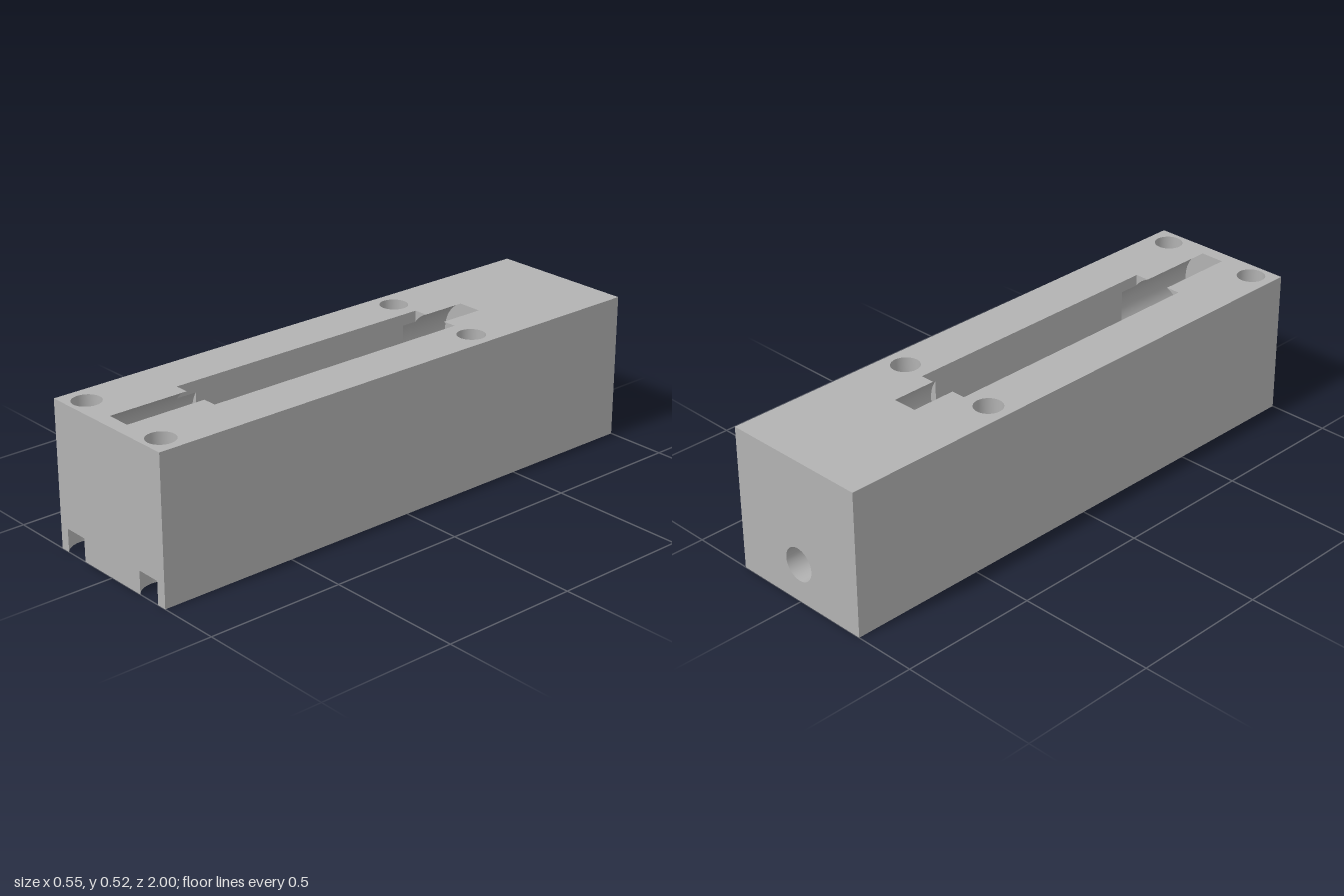
import * as THREE from 'three';

// Main dimensions
const W = 0.2735, T = 0.522;                          // half width, height
const SX = 0.097, SB = -0.375, SF = 0.655;            // through slot
const HX = 0.192, HR = 0.05, CR = 0.081, CY = 0.083;  // screw holes and counterbores
const ZF = 0.933, ZB = -0.36;                         // hole rows
const R = 0.12, NX = 0.045;                           // round channels breaking through the top
const CC = T - Math.sqrt(R * R - NX * NX);
const PX = 0.157, PZ = -0.06, P0 = 0.02, P1 = 0.26;   // pocket widening the slot
const BR = 0.06, BY = 0.139;                          // rear bore

const V = (x, y) => new THREE.Vector2(x, y);
const arc = (cx, cy, r, a0, a1) => {
  const n = Math.max(6, Math.ceil(Math.abs(a1 - a0) * 9));
  return Array.from({ length: n + 1 }, (_, i) => {
    const a = a0 + ((a1 - a0) * i) / n;
    return V(cx + r * Math.cos(a), cy + r * Math.sin(a));
  });
};
const circle = (cx, cy, r) => arc(cx, cy, r, 0, Math.PI * 2);
const rect = (x0, y0, x1, y1) => [V(x0, y0), V(x1, y0), V(x1, y1), V(x0, y1)];
const flip = (pts, s) => pts.map((p) => V(p.x * s, p.y));

// Place plane coordinates (u, v) at height h along an axis
const place = {
  x: (u, v, h) => [h, v, u],
  y: (u, v, h) => [u, h, v],
  z: (u, v, h) => [u, v, h],
};

export function createModel() {
  const group = new THREE.Group();
  const grey = new THREE.MeshStandardMaterial({ color: 0xb2b2b2, side: THREE.DoubleSide });
  grey.name = 'plain grey';

  const add = (name, geo) => {
    geo.computeVertexNormals();
    const mesh = new THREE.Mesh(geo, grey);
    mesh.name = name;
    group.add(mesh);
  };

  // Flat face with optional holes
  const face = (name, axis, h, outline, holes = []) => {
    const shape = new THREE.Shape(outline);
    shape.holes = holes.map((p) => new THREE.Path(p));
    const geo = new THREE.ShapeGeometry(shape);
    const pos = geo.attributes.position;
    for (let i = 0; i < pos.count; i++) pos.setXYZ(i, ...place[axis](pos.getX(i), pos.getY(i), h));
    // turn the winding so that it agrees with the axis
    if (axis !== 'z') geo.index.array.reverse();
    add(name, geo);
  };

  // Smooth wall swept from a to b along an axis
  const wall = (name, axis, pts, a, b) => {
    const pos = [], idx = [];
    pts.forEach((p, i) => {
      pos.push(...place[axis](p.x, p.y, a), ...place[axis](p.x, p.y, b));
      if (i) idx.push(2 * i - 2, 2 * i, 2 * i - 1, 2 * i - 1, 2 * i, 2 * i + 1);
    });
    const geo = new THREE.BufferGeometry();
    geo.setAttribute('position', new THREE.Float32BufferAttribute(pos, 3));
    geo.setIndex(idx);
    add(name, geo);
  };

  // Front counterbores open through the front face
  const b = Math.asin((1 - ZF) / CR);
  const half = CR * Math.cos(b);
  const bite = (cx) => arc(cx, ZF, CR, b, -Math.PI - b);

  // Rear hole arcs: the part outside the pocket, and the part inside it
  const rearFrom = (r) => Math.acos((PX - HX) / r);
  const rearTo = (r) => -Math.PI + Math.asin((ZB - SB) / r);
  const outer = (r) => arc(HX, ZB, r, rearFrom(r), rearTo(r));
  const inner = (r) => arc(HX, ZB, r, rearTo(r) + 2 * Math.PI, rearFrom(r));

  // Outer faces
  face('topFace', 'y', T, rect(-W, -1, W, 1), [
    [V(-SX, SB), V(-NX, SB), V(-NX, -0.54), V(NX, -0.54), V(NX, SB), V(SX, SB),
      V(SX, SF), V(NX, SF), V(NX, 0.95), V(-NX, 0.95), V(-NX, SF), V(-SX, SF)],
    ...[-HX, HX].flatMap((x) => [circle(x, ZF, HR), circle(x, ZB, HR)]),
  ]);
  face('bottomFace', 'y', 0,
    [V(-W, -1), V(W, -1), V(W, 1), ...bite(HX), ...bite(-HX), V(-W, 1)],
    [rect(-SX, SB, SX, SF), circle(HX, ZB, CR), circle(-HX, ZB, CR)]);
  face('frontFace', 'z', 1, [
    V(-W, 0), V(-HX - half, 0), V(-HX - half, CY), V(-HX + half, CY), V(-HX + half, 0),
    V(HX - half, 0), V(HX - half, CY), V(HX + half, CY), V(HX + half, 0), V(W, 0), V(W, T), V(-W, T)]);
  face('backFace', 'z', -1, rect(-W, 0, W, T), [circle(0, BY, BR)]);
  for (const s of [-1, 1]) face('sideFace', 'x', s * W, rect(-1, 0, 1, T));

  // Rear bore
  wall('rearBore', 'z', circle(0, BY, BR), -1, SB);

  // Slot end walls, cut away by the channels
  const aS = Math.acos(SX / R), aT = Math.acos(NX / R);
  const lo = CC - R * Math.sin(aS), hi = CC + R * Math.sin(aS);
  for (const [z, holes] of [[SB, [circle(0, BY, BR)]], [SF, []]]) {
    face('slotEnd', 'z', z, [V(-SX, 0), V(SX, 0), ...arc(0, CC, R, -aS, -Math.PI + aS)], holes);
    for (const s of [-1, 1])
      face('slotEndLip', 'z', z, flip([V(SX, T), ...arc(0, CC, R, aS, aT)], s));
  }

  // Round channels at both slot ends: [closed end, slot end, end inside the slot]
  for (const [end, mouth, stop] of [[-0.54, SB, -0.317], [0.95, SF, 0.58]]) {
    const round = arc(0, CC, R, aT, -Math.PI - aT);
    wall('channelWall', 'z', round, end, mouth);
    face('channelEnd', 'z', end, round);
    for (const s of [-1, 1]) {
      const side = flip(arc(0, CC, R, -aS, aS), s);
      wall('channelSide', 'z', side, mouth, stop);
      face('channelStep', 'z', stop, side);
    }
  }

  for (const s of [-1, 1]) {
    // Long slot wall with channel and pocket openings
    face('slotWall', 'x', s * SX, [
      V(SB, 0), V(SF, 0), V(SF, lo), V(0.58, lo), V(0.58, hi), V(SF, hi), V(SF, T),
      V(SB, T), V(SB, hi), V(-0.317, hi), V(-0.317, lo), V(SB, lo),
      V(SB, P1), V(PZ, P1), V(PZ, P0), V(SB, P0)]);

    // Side pocket
    const pocket = (r) => flip([V(SX, SB), ...inner(r), V(PX, PZ), V(SX, PZ)], s);
    face('pocketFloor', 'y', P0, pocket(CR));
    face('pocketCeiling', 'y', P1, pocket(HR));
    face('pocketEnd', 'z', PZ, flip(rect(SX, P0, PX, P1), s));
    for (const [r, y0, y1] of [[CR, P0, CY], [HR, CY, P1]]) {
      face('pocketSide', 'x', s * PX, rect(ZB + r * Math.sin(rearFrom(r)), y0, PZ, y1));
      face('pocketBack', 'z', SB, flip(rect(SX, y0, HX + r * Math.cos(rearTo(r)), y1), s));
    }

    // Front screw hole
    wall('frontHole', 'y', circle(s * HX, ZF, HR), CY, T);
    wall('frontCounterbore', 'y', bite(s * HX), 0, CY);
    face('frontCounterboreSeat', 'y', CY, bite(s * HX), [circle(s * HX, ZF, HR)]);

    // Rear screw hole, opening into the pocket
    wall('rearHole', 'y', circle(s * HX, ZB, HR), P1, T);
    wall('rearHoleLower', 'y', flip(outer(HR), s), CY, P1);
    wall('rearCounterbore', 'y', circle(s * HX, ZB, CR), 0, P0);
    wall('rearCounterboreUpper', 'y', flip(outer(CR), s), P0, CY);
    face('rearCounterboreSeat', 'y', CY, flip([...outer(CR), ...outer(HR).reverse()], s));
  }
  return group;
}
